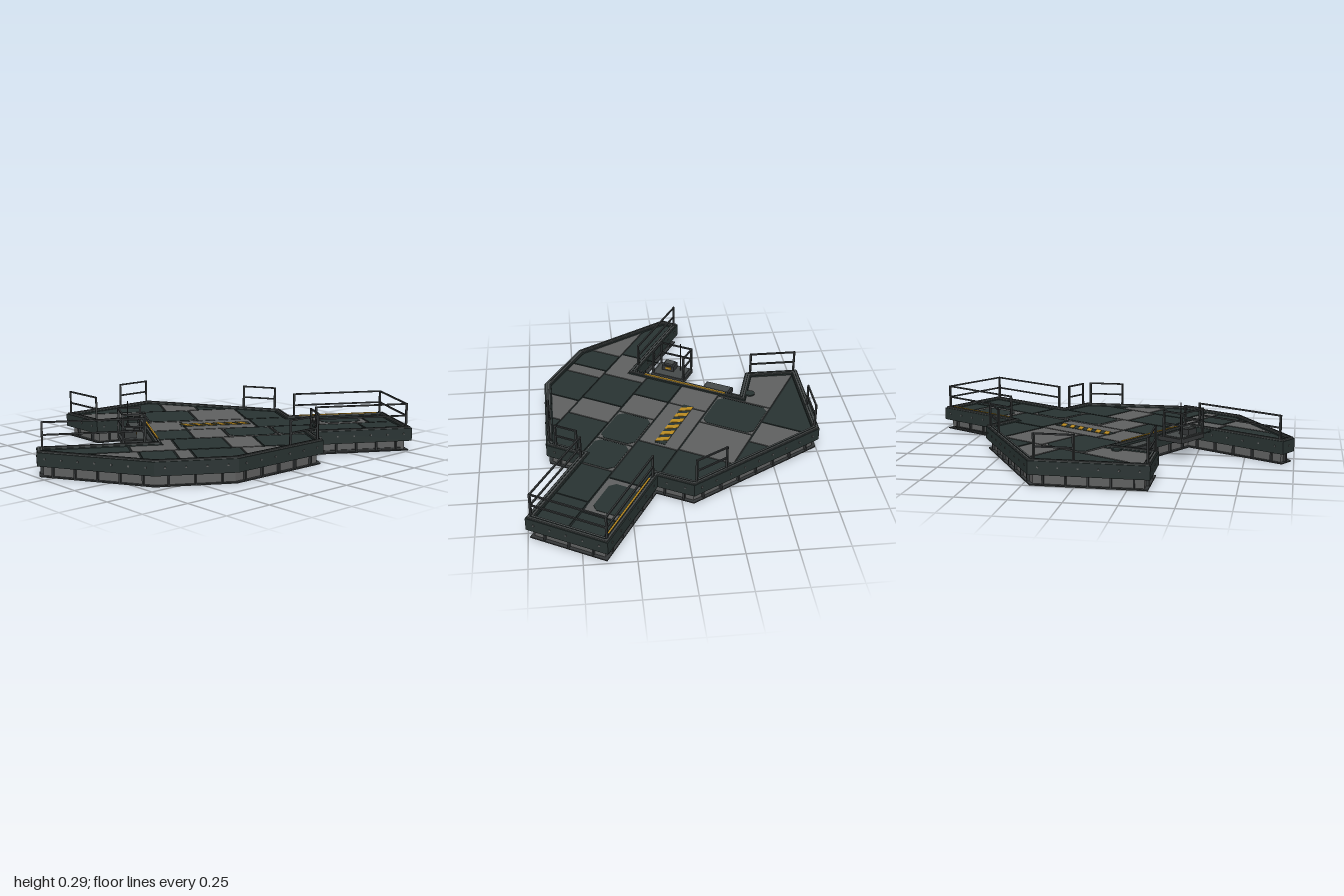
import * as THREE from 'three';

const mat = (name, color) => Object.assign(new THREE.MeshStandardMaterial({ color }), { name });

// Outline of the platform in its own axes (u along the pier, v across it)
const OUTLINE = [
  [-0.69, -0.478], [-0.19, -0.768], [0.514, -0.362], [0.518, -0.167], [1.06, -0.167],
  [1.06, 0.263], [0.516, 0.263], [0.516, 0.457], [0.016, 0.749], [-0.379, 0.746],
  [-0.896, 0.448], [-0.893, 0.343], [-0.318, 0.343], [-0.318, -0.275], [-0.544, -0.223],
];

// Moves every edge of the outline inward by d with mitred corners
function inset(poly, d) {
  const n = poly.length;
  const unit = (a, b) => {
    const x = b[0] - a[0], y = b[1] - a[1], l = Math.hypot(x, y);
    return [-y / l, x / l];
  };
  return poly.map((p, i) => {
    const m = unit(poly[(i + n - 1) % n], p), k = unit(p, poly[(i + 1) % n]);
    const s = d / (1 + m[0] * k[0] + m[1] * k[1]);
    return [p[0] + (m[0] + k[0]) * s, p[1] + (m[1] + k[1]) * s];
  });
}

// Cuts a polygon down to a rectangle
function clip(poly, u0, u1, v0, v1) {
  for (const [axis, limit, sign] of [[0, u0, 1], [0, u1, -1], [1, v0, 1], [1, v1, -1]]) {
    const out = [];
    poly.forEach((p, i) => {
      const q = poly[(i + 1) % poly.length];
      const a = (p[axis] - limit) * sign, b = (q[axis] - limit) * sign;
      if (a >= 0) out.push(p);
      if (a * b < 0) out.push([p[0] + (q[0] - p[0]) * a / (a - b), p[1] + (q[1] - p[1]) * a / (a - b)]);
    });
    poly = out;
  }
  return poly;
}

// Rectangle with cut corners
const chamfered = (u0, u1, v0, v1, c) => [
  [u0, v0 + c], [u0 + c, v0], [u1 - c, v0], [u1, v0 + c],
  [u1, v1 - c], [u1 - c, v1], [u0 + c, v1], [u0, v1 - c],
];

// Upright slab from a plan polygon, optionally with a hole (wound the other way)
function slab(poly, y0, y1, hole) {
  const pts = (p) => p.map(([u, v]) => new THREE.Vector2(u, -v));
  const shape = new THREE.Shape(pts(poly));
  if (hole) shape.holes.push(new THREE.Path(pts(hole).reverse()));
  const g = new THREE.ExtrudeGeometry(shape, { depth: y1 - y0, bevelEnabled: false });
  return g.rotateX(-Math.PI / 2).translate(0, y0, 0);
}

export function createModel() {
  const M = {
    dark: mat('dark green plate', 0x283231),
    grey: mat('grey plate', 0x5e5f5f),
    steel: mat('dark steel', 0x333637),
    rim: mat('rim grey', 0x454949),
    seam: mat('seam black', 0x1d2323),
    under: mat('underside black', 0x191d1e),
    yellow: mat('hazard yellow', 0xb98a20),
  };
  const root = new THREE.Group();
  root.name = 'platform';
  const g = new THREE.Group();
  g.name = 'rotatedPlatform';
  g.rotation.y = -Math.PI / 6;
  root.add(g);

  const add = (name, geo, m, parent = g) => {
    const mesh = new THREE.Mesh(geo, m);
    mesh.name = name;
    parent.add(mesh);
    return mesh;
  };
  const box = (name, m, u0, u1, y0, y1, v0, v1, parent) => add(name,
    new THREE.BoxGeometry(u1 - u0, y1 - y0, v1 - v0)
      .translate((u0 + u1) / 2, (y0 + y1) / 2, (v0 + v1) / 2), m, parent);
  // Box laid between two plan points
  const bar = (name, m, a, b, y, h, w, parent) => {
    const len = Math.hypot(b[0] - a[0], b[1] - a[1]);
    const mesh = add(name, new THREE.BoxGeometry(len, h, w), m, parent);
    mesh.position.set((a[0] + b[0]) / 2, y, (a[1] + b[1]) / 2);
    mesh.rotation.y = -Math.atan2(b[1] - a[1], b[0] - a[0]);
  };

  // Hull: lower flange, recessed web, edge band, rim and deck
  const ring = (name, m, d0, d1, y0, y1) => add(name, slab(inset(OUTLINE, d0), y0, y1, inset(OUTLINE, d1)), m);
  ring('lowerFlange', M.steel, 0.012, 0.045, 0, 0.006);
  ring('skirtWeb', M.grey, 0.03, 0.04, 0.006, 0.06);
  ring('edgeBand', M.dark, 0, 0.036, 0.055, 0.122);
  ring('rimTop', M.rim, 0.006, 0.03, 0.122, 0.129);
  ring('rimLine', M.seam, 0.016, 0.02, 0.129, 0.131);
  add('deckCore', slab(inset(OUTLINE, 0.034), 0.056, 0.113), M.seam);
  add('underside', slab(inset(OUTLINE, 0.038), 0.05, 0.056), M.under);

  // Skirt stiffeners and band studs along every edge
  const ribs = new THREE.Group(), studs = new THREE.Group();
  ribs.name = 'skirtStiffeners';
  studs.name = 'bandStuds';
  g.add(ribs, studs);
  const along = (poly, step, fn) => poly.forEach((a, i) => {
    const b = poly[(i + 1) % poly.length];
    const n = Math.max(1, Math.round(Math.hypot(b[0] - a[0], b[1] - a[1]) / step));
    const angle = -Math.atan2(b[1] - a[1], b[0] - a[0]);
    for (let k = 0; k < n; k++) {
      const t = (k + 0.5) / n;
      fn(a[0] + (b[0] - a[0]) * t, a[1] + (b[1] - a[1]) * t, angle);
    }
  });
  along(inset(OUTLINE, 0.024), 0.11, (u, v, r) => {
    const m = add('stiffener', new THREE.BoxGeometry(0.009, 0.052, 0.016), M.steel, ribs);
    m.position.set(u, 0.031, v);
    m.rotation.y = r;
  });
  along(OUTLINE, 0.09, (u, v, r) => {
    const m = add('stud', new THREE.BoxGeometry(0.008, 0.008, 0.006), M.grey, studs);
    m.position.set(u, 0.093, v);
    m.rotation.y = r;
  });

  // Deck plates: rows of [v0, v1, first u, then colour and end u]
  const rows = [
    [-0.78, -0.47, -0.8, 'dark', -0.13, 'grey', 0.06, 'dark', 0.55],
    [-0.47, -0.17, -0.75, 'grey', -0.27, 'worn', 0, 'grey', 0.27, 'dark', 0.55],
    [-0.17, 0.05, -0.32, 'grey', -0.1, 'grey', 0.28, 'dark', 0.62, 'worn', 0.9, 'dark', 1.1],
    [0.05, 0.26, -0.32, 'dark', -0.1, 'grey', 0.08, 'worn', 0.34, 'worn', 0.57, 'dark', 0.83, 'dark', 1.1],
    [0.26, 0.5, -0.9, 'dark', -0.45, 'grey', -0.22, 'dark', 0.04, 'grey', 0.2, 'dark', 0.55],
    [0.5, 0.78, -0.9, 'grey', -0.42, 'dark', -0.25, 'grey', -0.17, 'dark', 0.08, 'grey', 0.28, 'dark', 0.55],
  ];
  const field = inset(OUTLINE, 0.04), e = 0.005;
  for (const [v0, v1, start, ...cells] of rows) {
    let u0 = start;
    for (let i = 0; i < cells.length; i += 2) {
      const u1 = cells[i + 1], worn = cells[i] === 'worn';
      const poly = clip(field, u0 + e, u1 - e, v0 + e, v1 - e);
      if (poly.length > 2) add('deckPlate', slab(poly, 0.11, 0.117), worn ? M.grey : M[cells[i]]);
      // Dark coat with worn corners; the pier plate is worn further in
      const d = u0 > 0.6 ? 0.032 : 0.009;
      if (worn) add('deckCoat', slab(chamfered(u0 + d, u1 - d, v0 + d, v1 - d, 0.028), 0.117, 0.119), M.dark);
      u0 = u1;
    }
  }
  add('hatch', new THREE.CylinderGeometry(0.026, 0.026, 0.008, 12).translate(-0.36, 0.12, -0.32), M.dark);

  // Hazard marking and yellow edge lines
  box('hazardBase', M.dark, -0.115, 0.26, 0.117, 0.119, -0.09, -0.032);
  for (let i = 0; i < 6; i++) {
    const u = -0.112 + i * 0.06;
    add('hazardStripe', slab([[u, -0.09], [u + 0.032, -0.09], [u + 0.065, -0.032], [u + 0.033, -0.032]], 0.118, 0.121), M.yellow);
  }
  box('dockLine', M.yellow, -0.296, -0.287, 0.129, 0.133, -0.2, 0.28);
  box('pierLine', M.yellow, 0.56, 1.01, 0.129, 0.133, -0.147, -0.138);

  // Beams below the deck
  for (const [v, u0, u1] of [[-0.33, -0.5, 0.47], [-0.13, -0.28, 1.01], [0.05, -0.28, 1.01], [0.225, -0.28, 1.01]]) {
    box('beamWeb', M.grey, u0, u1, 0.015, 0.052, v - 0.005, v + 0.005);
    box('beamFlange', M.steel, u0, u1, 0.01, 0.016, v - 0.014, v + 0.014);
  }

  // Railings
  const railing = (a, b, y0 = 0.125) => {
    const rail = new THREE.Group();
    rail.name = 'railing';
    g.add(rail);
    for (const y of [0.187, 0.249]) bar('rail', M.steel, a, b, y, 0.008, 0.008, rail);
    for (const [u, v] of [a, b]) box('post', M.steel, u - 0.005, u + 0.005, y0, 0.253, v - 0.005, v + 0.005, rail);
  };
  [
    [[-0.865, 0.358], [-0.37, 0.358]], [[-0.544, -0.252], [-0.666, -0.464]],
    [[-0.367, -0.642], [-0.203, -0.737]], [[0.481, -0.359], [0.322, -0.452]],
    [[0.535, -0.15], [1.032, -0.15]], [[1.032, -0.15], [1.032, 0.245]],
    [[0.54, 0.245], [1.032, 0.245]], [[0.5, 0.407], [0.5, 0.288]],
    [[0.482, 0.455], [0.318, 0.55]],
  ].forEach(([a, b]) => railing(a, b));

  // Side dock with its cage, console and mast
  box('dockFloor', M.steel, -0.468, -0.31, 0.095, 0.118, 0.065, 0.262);
  box('dockPlate', M.rim, -0.455, -0.34, 0.118, 0.122, 0.08, 0.247);
  const cage = [[-0.35, 0.072], [-0.462, 0.072], [-0.462, 0.255], [-0.35, 0.255]];
  for (let i = 0; i < 3; i++) railing(cage[i], cage[i + 1], 0.115);
  box('console', M.steel, -0.45, -0.39, 0.122, 0.152, 0.15, 0.22);
  box('consoleTop', M.rim, -0.44, -0.4, 0.152, 0.162, 0.16, 0.21);
  box('consoleLight', M.yellow, -0.389, -0.384, 0.135, 0.146, 0.165, 0.195);
  add('mast', new THREE.CylinderGeometry(0.003, 0.003, 0.175, 6).translate(-0.42, 0.207, 0.12), M.steel);
  box('sideStep', M.steel, -0.39, -0.31, 0.085, 0.112, -0.21, -0.055);
  box('sideStepPlate', M.rim, -0.38, -0.33, 0.112, 0.116, -0.2, -0.065);
  return root;
}
